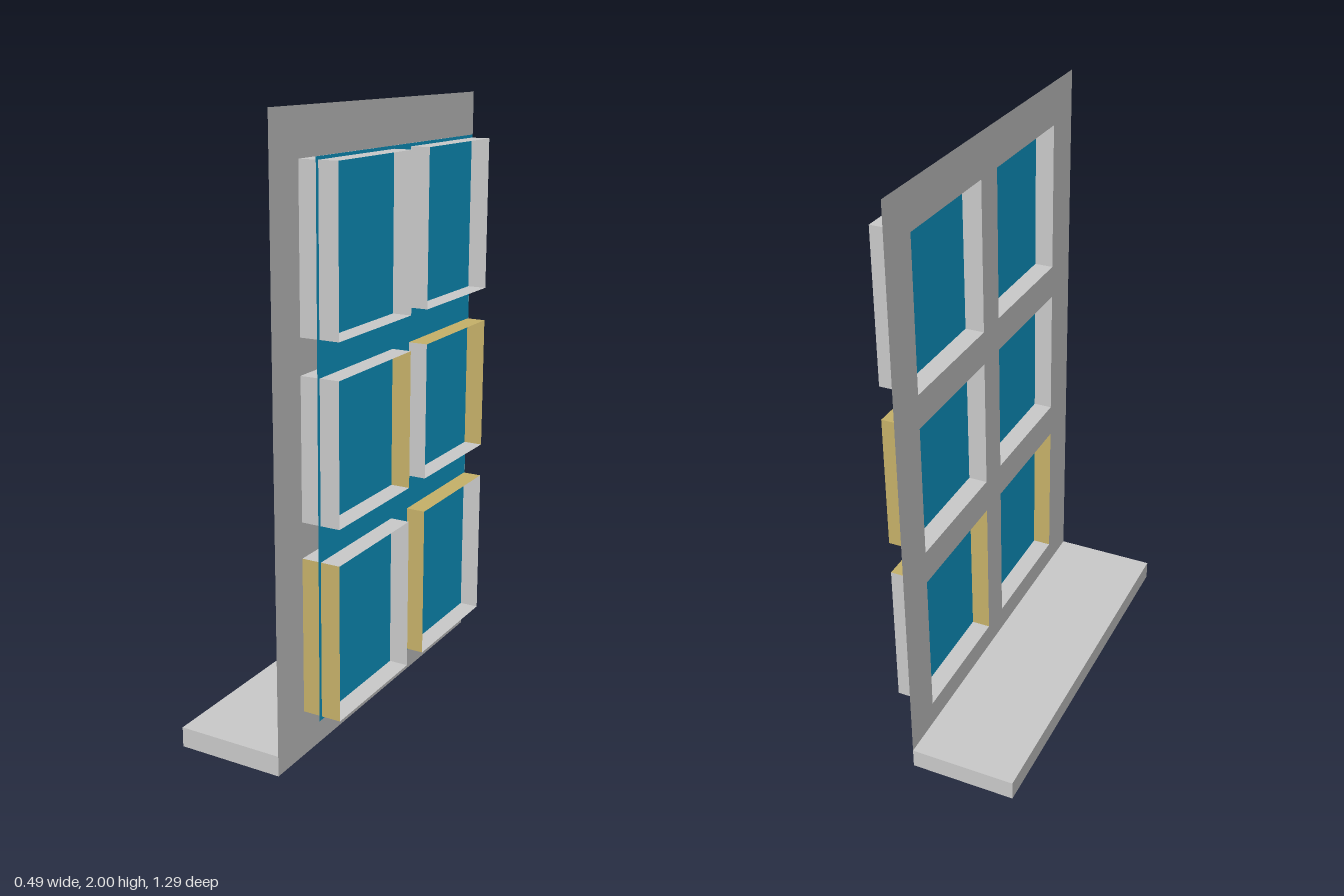
import * as THREE from 'three';

const makeMaterial = (name, color) => {
  const m = new THREE.MeshStandardMaterial({ color, side: THREE.DoubleSide });
  m.name = name;
  return m;
};

export function createModel() {
  const grey = makeMaterial('light grey', 0xcacaca);
  const gold = makeMaterial('gold', 0xc6b169);
  const blue = makeMaterial('glass blue', 0x0e9dcd);
  const group = new THREE.Group();
  group.name = 'windowWall';

  const wallX = 0.115, frontX = 0.245, paneX = 0.18;
  const depth = frontX - wallX, midX = (wallX + frontX) / 2;
  const halfWidth = 0.647, height = 2;
  const columns = { left: [0.054, 0.497], right: [-0.5, -0.057] };
  const rows = { bottom: [0.151, 0.662], middle: [0.778, 1.231], top: [1.345, 1.854] };
  // frame sides painted gold; all others are grey
  const goldSides = {
    leftMiddle: ['back'], rightMiddle: ['top', 'back'],
    leftBottom: ['front'], rightBottom: ['top', 'front'],
  };

  const add = (name, geometry, material, parent = group) => {
    const mesh = new THREE.Mesh(geometry, material);
    mesh.name = name;
    parent.add(mesh);
    return mesh;
  };
  const rectangle = (Type, x0, x1, y0, y1) => new Type([
    new THREE.Vector2(x0, y0), new THREE.Vector2(x1, y0),
    new THREE.Vector2(x1, y1), new THREE.Vector2(x0, y1),
  ]);

  // thin wall sheet facing +x, with six openings (shape x runs along -z)
  const wallShape = rectangle(THREE.Shape, -halfWidth, halfWidth, 0, height);
  for (const [z0, z1] of Object.values(columns))
    for (const [y0, y1] of Object.values(rows))
      wallShape.holes.push(rectangle(THREE.Path, -z1, -z0, y0, y1));
  const wall = add('wall', new THREE.ShapeGeometry(wallShape), grey);
  wall.rotation.y = Math.PI / 2;
  wall.position.x = wallX;

  // base ledge on the room side
  const ledge = add('ledge', new THREE.BoxGeometry(0.362, 0.067, 2 * halfWidth), grey);
  ledge.position.set(wallX - 0.181, 0.0335, 0);

  // one glass sheet passing through all frames
  const pane = add('glassPane', new THREE.PlaneGeometry(1.016, 1.724), blue);
  pane.rotation.y = Math.PI / 2;
  pane.position.set(paneX, 1.002, 0.002);

  // open box frames made of four thin sides
  for (const [column, [z0, z1]] of Object.entries(columns)) {
    for (const [row, [y0, y1]] of Object.entries(rows)) {
      const key = column + row[0].toUpperCase() + row.slice(1);
      const frame = new THREE.Group();
      frame.name = key + 'Frame';
      group.add(frame);
      const paint = (side) => (goldSides[key]?.includes(side) ? gold : grey);
      const ym = (y0 + y1) / 2, zm = (z0 + z1) / 2;
      for (const [side, z] of [['front', z1], ['back', z0]]) {
        const geometry = new THREE.PlaneGeometry(depth, y1 - y0);
        add(side + 'Side', geometry, paint(side), frame).position.set(midX, ym, z);
      }
      for (const [side, y] of [['top', y1], ['bottom', y0]]) {
        const geometry = new THREE.PlaneGeometry(depth, z1 - z0).rotateX(-Math.PI / 2);
        add(side + 'Side', geometry, paint(side), frame).position.set(midX, y, zm);
      }
    }
  }
  return group;
}
